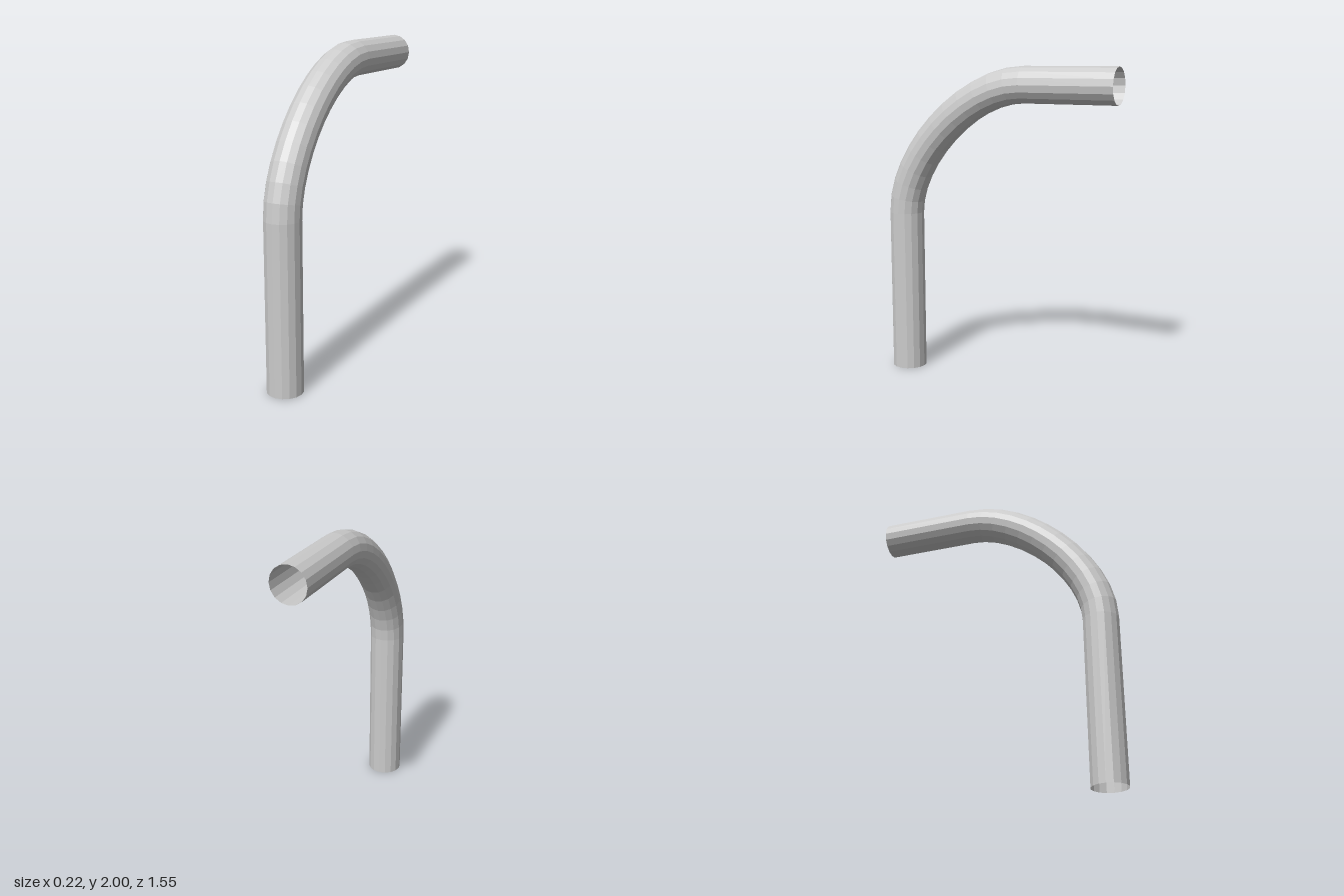
import * as THREE from 'three';

const RADIUS = 0.112, SIDES = 16, BEND_STEPS = 12;

// Centre line in the y-z plane: upright leg, quarter bend, level arm to the back
function centreLine() {
  const v = (y, z) => new THREE.Vector3(0, y, z);
  const bend = new THREE.CubicBezierCurve3(v(1.05, 0.664), v(1.425, 0.664), v(1.888, 0.195), v(1.888, -0.18));
  const stations = [{ p: v(0, 0.664), t: v(1, 0) }];
  for (let i = 0; i <= BEND_STEPS; i++) {
    stations.push({ p: bend.getPoint(i / BEND_STEPS), t: bend.getTangent(i / BEND_STEPS) });
  }
  stations.push({ p: v(1.888, -0.776), t: v(0, -1) });
  return stations;
}

export function createModel() {
  const group = new THREE.Group();
  group.name = 'bentPipe';

  // Open cylinder whose rings are moved onto the centre line
  const stations = centreLine();
  const rows = stations.length - 1;
  const geometry = new THREE.CylinderGeometry(RADIUS, RADIUS, 1, SIDES, rows, true);
  const pos = geometry.attributes.position;
  for (let i = 0; i < pos.count; i++) {
    const { p, t } = stations[Math.round((pos.getY(i) + 0.5) * rows)];
    const off = pos.getZ(i);
    pos.setXYZ(i, pos.getX(i), p.y - off * t.z, p.z + off * t.y);
  }
  geometry.computeVertexNormals();

  const pipe = new THREE.Mesh(geometry, new THREE.MeshStandardMaterial({
    color: 0xcccccc, flatShading: true, side: THREE.DoubleSide,
  }));
  pipe.name = 'pipe';
  group.add(pipe);
  return group;
}
